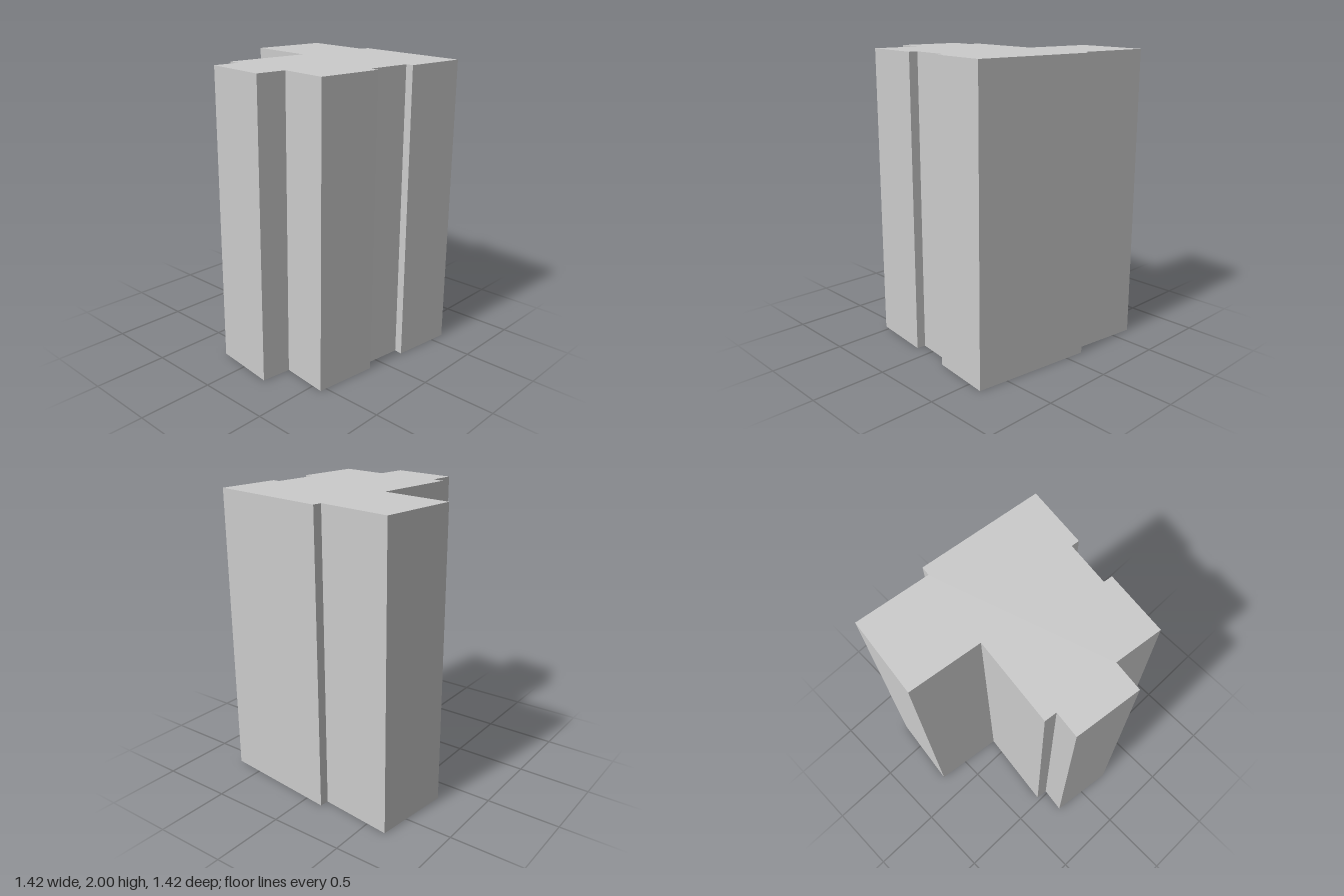
import * as THREE from 'three';

// Footprint corners as [x, z], clockwise seen from above
const FOOTPRINT = [
  [0.172, -0.711], [0.706, -0.648], [0.645, -0.14], [0.706, -0.133],
  [0.608, 0.708], [0.189, 0.658], [0.195, 0.603], [-0.105, 0.567],
  [-0.112, 0.627], [-0.545, 0.577], [-0.506, 0.248], [-0.71, 0.223],
  [-0.657, -0.224], [-0.482, -0.203], [-0.473, -0.285], [0.112, -0.216],
];
const HEIGHT = 2;

// One upright quad per footprint edge, facing outwards
function wallGeometry() {
  const positions = [];
  FOOTPRINT.forEach(([ax, az], i) => {
    const [bx, bz] = FOOTPRINT[(i + 1) % FOOTPRINT.length];
    positions.push(
      bx, 0, bz, ax, 0, az, ax, HEIGHT, az,
      bx, 0, bz, ax, HEIGHT, az, bx, HEIGHT, bz,
    );
  });
  const geometry = new THREE.BufferGeometry();
  geometry.setAttribute('position', new THREE.Float32BufferAttribute(positions, 3));
  geometry.computeVertexNormals();
  return geometry;
}

// Flat roof filling the footprint
function roofGeometry() {
  const shape = new THREE.Shape(FOOTPRINT.map(([x, z]) => new THREE.Vector2(x, -z)));
  return new THREE.ShapeGeometry(shape).rotateX(-Math.PI / 2).translate(0, HEIGHT, 0);
}

export function createModel() {
  const material = new THREE.MeshStandardMaterial({
    color: 0xcccccc, flatShading: true, side: THREE.DoubleSide,
  });
  const group = new THREE.Group();
  group.name = 'building';

  // Shell is open underneath
  const walls = new THREE.Mesh(wallGeometry(), material);
  walls.name = 'walls';
  const roof = new THREE.Mesh(roofGeometry(), material);
  roof.name = 'roof';
  group.add(walls, roof);
  return group;
}
